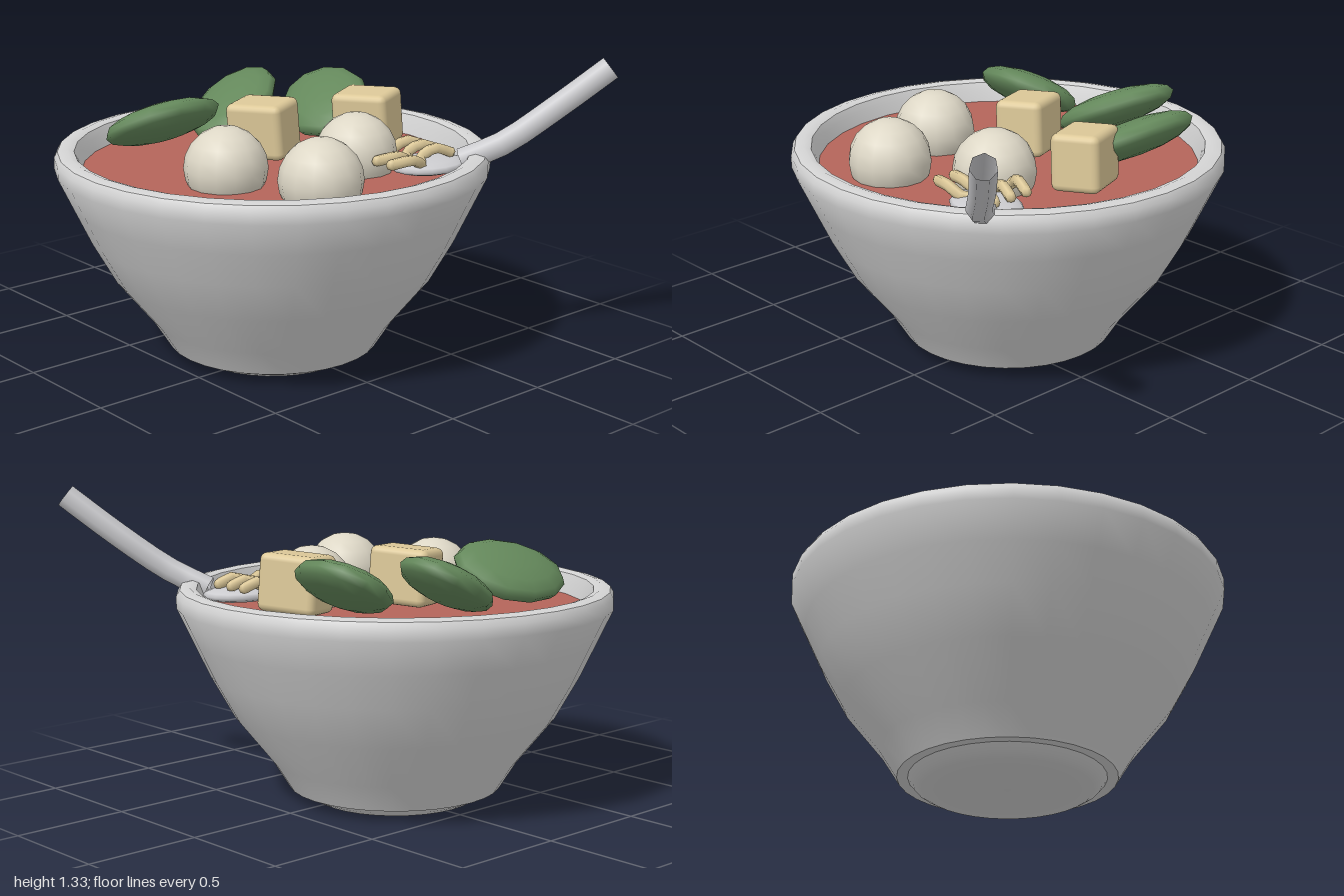
import * as THREE from 'three';
import { toCreasedNormals } from 'three/addons/utils/BufferGeometryUtils.js';
import { RoundedBoxGeometry } from 'three/addons/geometries/RoundedBoxGeometry.js';

const V = (x, y, z) => new THREE.Vector3(x, y, z);

function material(name, color, side = THREE.FrontSide) {
  const m = new THREE.MeshStandardMaterial({ color, side });
  m.name = name;
  return m;
}

export function createModel() {
  const group = new THREE.Group();
  const ceramic = material('ceramic', 0xd4d4d4, THREE.DoubleSide);
  const metal = material('spoonMetal', 0xcccccf, THREE.DoubleSide);
  const broth = material('broth', 0xb4655a);
  const green = material('leafGreen', 0x64885b);
  const cream = material('dumplingCream', 0xddd7c6);
  const tan = material('tofuTan', 0xdcc898);

  function add(name, geometry, mat, x = 0, y = 0, z = 0) {
    const mesh = new THREE.Mesh(geometry, mat);
    mesh.name = name;
    mesh.position.set(x, y, z);
    group.add(mesh);
    return mesh;
  }

  // Bowl centre
  const CX = -0.075, CZ = 0.03;
  const lathe = (pts) => toCreasedNormals(
    new THREE.LatheGeometry(pts.map(([r, y]) => new THREE.Vector2(r, y)), 32), 0.65);

  // Foot and bowl wall with rolled rim
  add('foot', lathe([[0, 0], [0.35, 0], [0.385, 0.02], [0.41, 0.05]]), ceramic, CX, 0, CZ);
  add('bowl', lathe([
    [0.38, 0.05], [0.455, 0.05], [0.53, 0.17], [0.69, 0.37], [0.79, 0.55], [0.86, 0.7],
    [0.925, 0.84], [0.925, 0.89], [0.91, 0.915], [0.87, 0.925],
    [0.84, 0.915], [0.825, 0.88], [0.805, 0.81],
  ]), ceramic, CX, 0, CZ);

  // Soup surface
  const soup = new THREE.CircleGeometry(0.813, 32).rotateX(-Math.PI / 2);
  add('soup', soup, broth, CX, 0.83, CZ);

  // Round dumplings
  const ball = new THREE.SphereGeometry(0.175, 14, 10);
  for (const [x, z] of [[0.04, 0.375], [0.435, 0.205], [0.21, -0.19]]) {
    add('dumpling', ball, cream, x, 0.902, z);
  }

  // Tofu cubes, slightly tilted
  const cube = new RoundedBoxGeometry(0.26, 0.24, 0.21, 2, 0.03);
  for (const [x, z] of [[-0.025, -0.475], [-0.17, 0]]) {
    add('tofuCube', cube, tan, x, 0.972, z).rotation.set(0.06, 0.4, 0.03);
  }

  // Leaves: flattened ellipsoids given by centre, long axis and face normal
  const leaves = [
    [V(-0.315, 0.99, -0.48), V(0.85, 0, 0.45), V(0, 0.85, 0.5)],
    [V(-0.555, 0.99, -0.145), V(0.45, 0, 0.9), V(-0.05, 0.87, 0.45)],
    [V(-0.47, 0.99, 0.315), V(-0.18, 0, 1), V(-0.5, 0.87, 0)],
  ];
  const leafGeometry = new THREE.SphereGeometry(1, 12, 8).scale(0.2, 0.075, 0.27);
  for (const [p, along, normal] of leaves) {
    const n = normal.normalize();
    const side = n.clone().cross(along).normalize();
    const long = side.clone().cross(n);
    const leaf = add('leaf', leafGeometry, green, p.x, p.y, p.z);
    leaf.quaternion.setFromRotationMatrix(new THREE.Matrix4().makeBasis(side, n, long));
  }

  // Spoon: shallow oval head and open tubular handle
  const head = new THREE.SphereGeometry(1, 16, 8).scale(0.135, 0.035, 0.175);
  add('spoonHead', head, metal, 0.44, 0.865, -0.39).rotation.y = -0.15;
  const handle = new THREE.CatmullRomCurve3([
    V(0.54, 0.885, -0.49), V(0.67, 0.965, -0.6), V(0.81, 1.12, -0.77), V(0.95, 1.285, -0.93),
  ]);
  add('spoonHandle', new THREE.TubeGeometry(handle, 8, 0.052, 7), metal);

  // Wavy noodles
  for (let i = 0; i < 3; i++) {
    const x = 0.31 + i * 0.085;
    const curve = new THREE.CatmullRomCurve3([
      V(x, 0.91, -0.48), V(x - 0.02, 0.935, -0.41), V(x - 0.045, 0.9, -0.35),
      V(x + 0.005, 0.885, -0.31), V(x + 0.025, 0.92, -0.24), V(x - 0.005, 0.91, -0.145),
    ]);
    add('noodle', new THREE.TubeGeometry(curve, 12, 0.024, 6), tan);
    for (const t of [0, 1]) {
      const p = curve.getPoint(t);
      add('noodleTip', new THREE.SphereGeometry(0.024, 6, 4), tan, p.x, p.y, p.z);
    }
  }

  return group;
}
